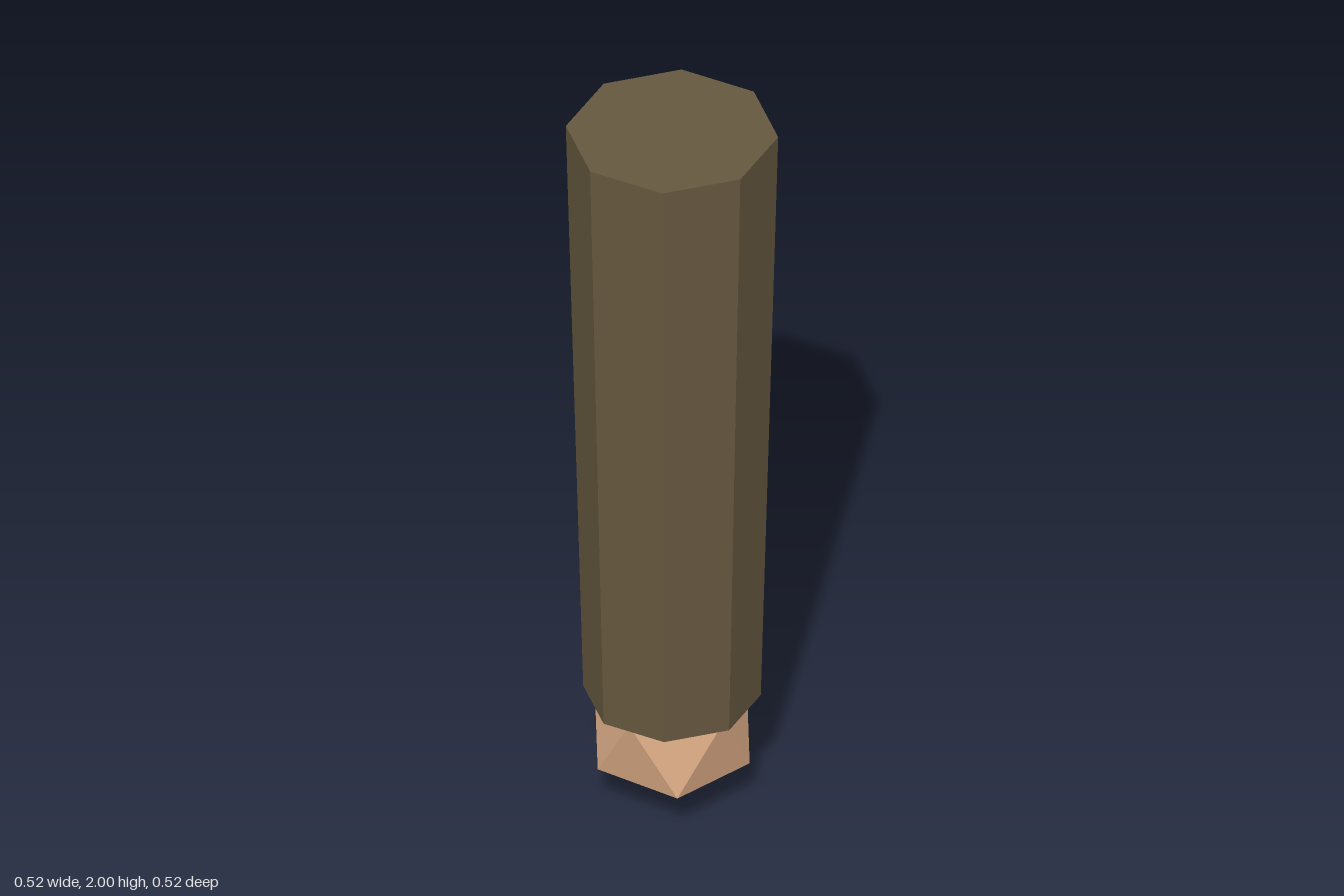
import * as THREE from 'three';

export function createModel() {
  const group = new THREE.Group();
  group.name = 'arm';

  const cloth = new THREE.MeshStandardMaterial({ color: 0x66583f, flatShading: true });
  cloth.name = 'brown cloth';
  const skin = new THREE.MeshStandardMaterial({ color: 0xd9a984, flatShading: true });
  skin.name = 'skin';

  // Tapered eight-sided sleeve, closed at both ends
  const cuffY = 0.308;
  const sleeve = new THREE.Mesh(new THREE.CylinderGeometry(0.262, 0.219, 2 - cuffY, 8), cloth);
  sleeve.name = 'sleeve';
  sleeve.position.y = (2 + cuffY) / 2;
  group.add(sleeve);

  // Faceted fist, turned so that one corner points straight down
  const radius = 0.22;
  const fistGeometry = new THREE.IcosahedronGeometry(radius, 0);
  fistGeometry.rotateZ(-Math.atan(2 / (1 + Math.sqrt(5))));
  const fist = new THREE.Mesh(fistGeometry, skin);
  fist.name = 'fist';
  fist.position.y = radius;
  group.add(fist);

  return group;
}
